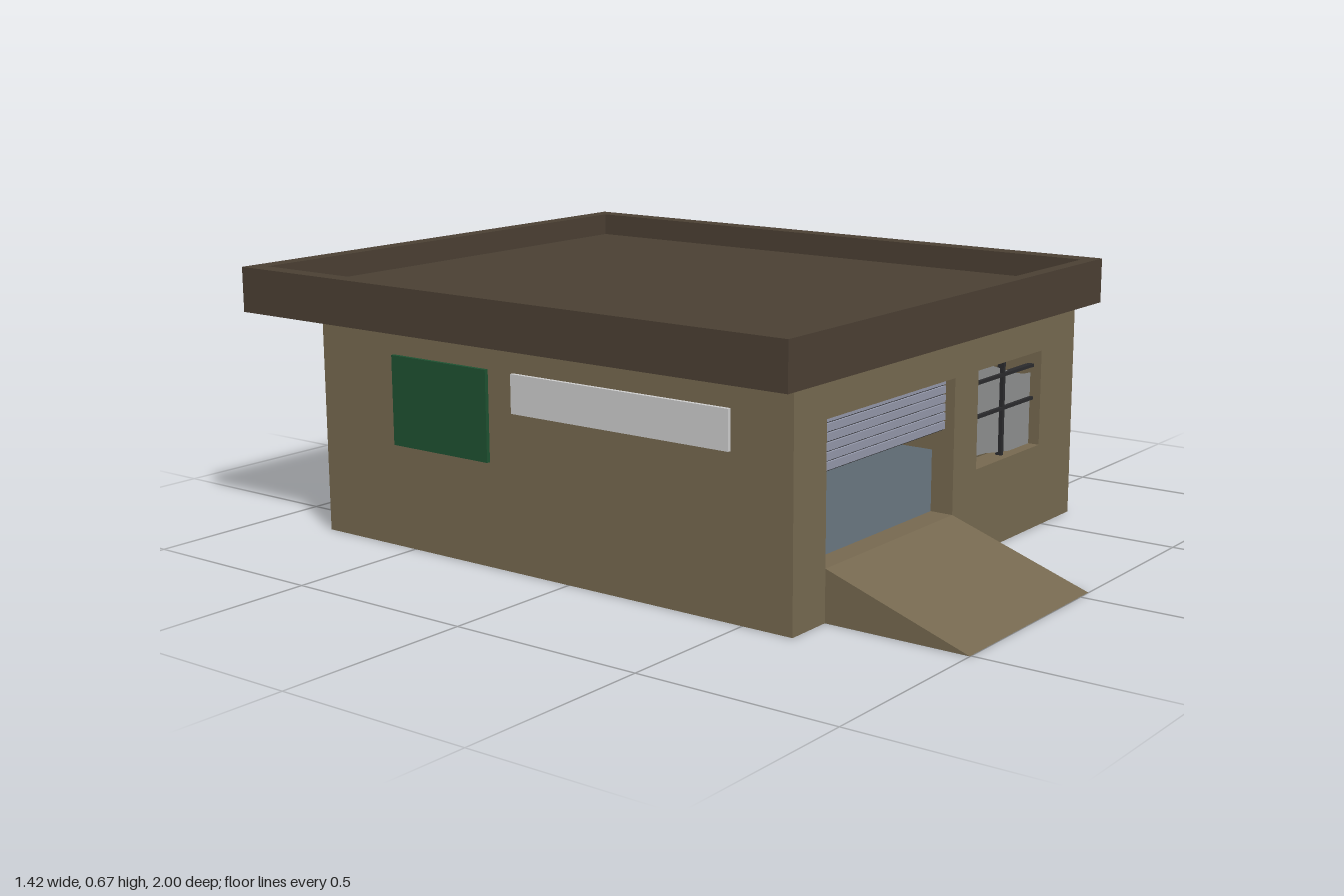
import * as THREE from 'three';
import { mergeGeometries } from 'three/addons/utils/BufferGeometryUtils.js';

const mat = (color, opts = {}) => new THREE.MeshStandardMaterial({ color, ...opts });
const wallMat = mat(0x75684f), roofMat = mat(0x4a3f33), floorMat = mat(0x5c6870);
const greyMat = mat(0xcccccc), darkMat = mat(0x2a2a2c), slatMat = mat(0x9296a8);
const brickMat = mat(0xc08a2c), mortarMat = mat(0xb5ab98), blueMat = mat(0x3a4a70);
const greenMat = mat(0x1d5030), stepMat = mat(0x736650), baseMat = mat(0x4a3d35);
const glassMat = mat(0x8c8e8e, { side: THREE.DoubleSide });

// box geometry given by its two corners
function span(x0, x1, y0, y1, z0, z1) {
  return new THREE.BoxGeometry(x1 - x0, y1 - y0, z1 - z0)
    .translate((x0 + x1) / 2, (y0 + y1) / 2, (z0 + z1) / 2);
}

// round bar between two points
function bar(a, b, r) {
  const p = new THREE.Vector3(...a), q = new THREE.Vector3(...b);
  const d = q.clone().sub(p);
  return new THREE.CylinderGeometry(r, r, d.length(), 8)
    .applyQuaternion(new THREE.Quaternion().setFromUnitVectors(new THREE.Vector3(0, 1, 0), d.normalize()))
    .translate(...p.add(q).multiplyScalar(0.5).toArray());
}

function polygon(points, Type = THREE.Shape) {
  return new Type(points.map(([x, y]) => new THREE.Vector2(x, y)));
}
const rect = (x0, x1, y0, y1, Type) => polygon([[x0, y0], [x1, y0], [x1, y1], [x0, y1]], Type);

export function createModel() {
  const model = new THREE.Group();
  const add = (name, material, ...geos) => {
    const mesh = new THREE.Mesh(geos.length > 1 ? mergeGeometries(geos) : geos[0], material);
    mesh.name = name;
    model.add(mesh);
  };
  const T = 0.06, X0 = -0.63, X1 = 0.645, Z0 = -0.8, Z1 = 0.635, H = 0.56;

  // Front wall with the loading opening and the window
  const front = rect(X0, X1, 0, H);
  front.holes.push(rect(-0.505, 0.04, 0.125, 0.46, THREE.Path), rect(0.15, 0.47, 0.215, 0.46, THREE.Path));
  add('frontWall', wallMat,
    new THREE.ExtrudeGeometry(front, { depth: T, bevelEnabled: false }).translate(0, 0, Z1 - T));

  // Other walls, base and floor
  add('sideAndBackWalls', wallMat,
    span(X0, X0 + T, 0, H, Z0, Z1 - T), span(X1 - T, X1, 0, H, Z0, Z1 - T),
    span(X0 + T, X1 - T, 0, H, Z0, Z0 + T));
  add('base', baseMat, span(X0 + 0.002, X1 - 0.002, 0, 0.02, Z0 + 0.002, Z1 - 0.002).translate(0, -0.0005, 0));
  add('floor', floorMat, span(X0 + T, X1 - T, 0.02, 0.125, Z0 + T, Z1 - T));

  // Ramp, a wedge extruded across the opening
  const wedge = polygon([[Z1, 0], [1, 0], [Z1, 0.125]]);
  add('ramp', wallMat, new THREE.ExtrudeGeometry(wedge, { depth: 0.545, bevelEnabled: false })
    .rotateY(-Math.PI / 2).translate(0.04, 0, 0));

  // Flat roof with a raised rim
  add('roofSlab', roofMat, span(-0.7, 0.7, 0.555, 0.61, -0.99, 0.665));
  const rim = polygon([[-0.71, -0.675], [0.71, -0.675], [0.71, 1], [-0.71, 1]]);
  rim.holes.push(rect(-0.665, 0.66, -0.64, 0.955, THREE.Path));
  add('roofRim', roofMat, new THREE.ExtrudeGeometry(rim, { depth: 0.115, bevelEnabled: false })
    .rotateX(-Math.PI / 2).translate(0, 0.555, 0));

  // Half-open shutter
  const slats = [];
  for (let i = 0; i < 6; i++) {
    const y = 0.33 + i * 0.0217;
    slats.push(span(-0.505, 0.04, y + 0.004, y + 0.0217, 0.59, 0.61));
  }
  add('shutterSlats', slatMat, ...slats);
  add('shutterBacking', darkMat, span(-0.505, 0.04, 0.33, 0.46, 0.592, 0.604));

  // Broken window pane and its frame
  const pane = polygon([
    [0.15, 0.245], [0.2, 0.235], [0.25, 0.232], [0.3, 0.224], [0.37, 0.215], [0.47, 0.215],
    [0.47, 0.4], [0.43, 0.403], [0.38, 0.415], [0.31, 0.437], [0.235, 0.46], [0.15, 0.46]]);
  add('windowPane', glassMat, new THREE.ShapeGeometry(pane).translate(0, 0, 0.605));
  add('windowFrame', darkMat,
    span(0.311, 0.321, 0.215, 0.46, 0.598, 0.615),
    ...[0.335, 0.42].map(y => span(0.15, 0.47, y - 0.004, y + 0.004, 0.598, 0.615)));

  // Raised rear floor with inset steps
  const F = 0.1, top = 0.3, sx0 = -0.305, sx1 = 0.04;
  add('raisedFloor', greyMat,
    span(X0 + T, sx0, 0.125, top, Z0 + T, F), span(sx1, X1 - T, 0.125, top, Z0 + T, F),
    span(sx0, sx1, 0.125, top, Z0 + T, -0.2));
  const inner = [];
  for (let i = 0; i < 6; i++) {
    inner.push(span(sx0, sx1, 0.125 + i * 0.025, 0.15 + i * 0.025, -0.2, F - i * 0.05));
  }
  add('innerSteps', stepMat, ...inner);

  // Brick facing on both sides of the steps
  const bricks = [], rows = 8, h = (top - 0.125) / rows, w = 0.046;
  const faces = [[X0 + T, sx0], [sx1, X1 - T]];
  for (const [a, b] of faces) {
    for (let r = 0; r < rows; r++) {
      for (let x = a - (r % 2) * w / 2; x < b; x += w) {
        const l = Math.max(x, a), e = Math.min(x + w - 0.005, b);
        if (e - l > 0.003) bricks.push(span(l, e, 0.125 + r * h, 0.121 + (r + 1) * h, F, F + 0.008));
      }
    }
  }
  add('bricks', brickMat, ...bricks);
  add('mortar', mortarMat, ...faces.map(([a, b]) => span(a, b, 0.125, top, F, F + 0.005)));
  add('innerRailPosts', darkMat, ...[-0.49, -0.33].map(x => bar([x, top, 0.07], [x, 0.4, 0.07], 0.005)),
    bar([-0.56, 0.4, 0.07], [-0.32, 0.4, 0.07], 0.005));

  // Side door, side window strip and rear door
  add('sideDoor', greenMat, span(X0 - 0.01, X0 + T + 0.005, 0.26, 0.485, -0.55, -0.24));
  add('sideWindow', greyMat, span(X0 - 0.01, X0 + T + 0.005, 0.39, 0.485, -0.16, 0.47));
  add('rearDoor', blueMat, span(0.33, 0.47, 0.3, 0.49, Z0 - 0.006, Z0 + T + 0.006));

  // Rear landing and open staircase
  const outer = -0.97, steps = 11, run = 0.06, rise = 0.024;
  const treads = [span(0.3, 0.56, 0.292, 0.306, outer, Z0)];
  const rails = [];
  const post = (x, y) => rails.push(bar([x, y, outer + 0.005], [x, y + 0.12, outer + 0.005], 0.0055));
  for (let i = 0; i < steps; i++) {
    const x = 0.3 - i * run, y = 0.3 - (i + 1) * rise;
    treads.push(span(x - run, x, y - 0.006, y + 0.006, outer, Z0));
    post(x - run / 2, y);
  }
  add('rearSteps', greyMat, ...treads);

  // Handrail along the stairs and around the landing
  [0.555, 0.43, 0.31].forEach(x => post(x, 0.3));
  const path = [[0.555, 0.42, Z0], [0.555, 0.42, outer + 0.005], [0.31, 0.42, outer + 0.005],
    [0.31 - steps * run - 0.01, 0.42 - steps * rise, outer + 0.005]];
  for (let i = 0; i < 3; i++) rails.push(bar(path[i], path[i + 1], 0.0055));
  add('handrail', darkMat, ...rails);

  return model;
}
